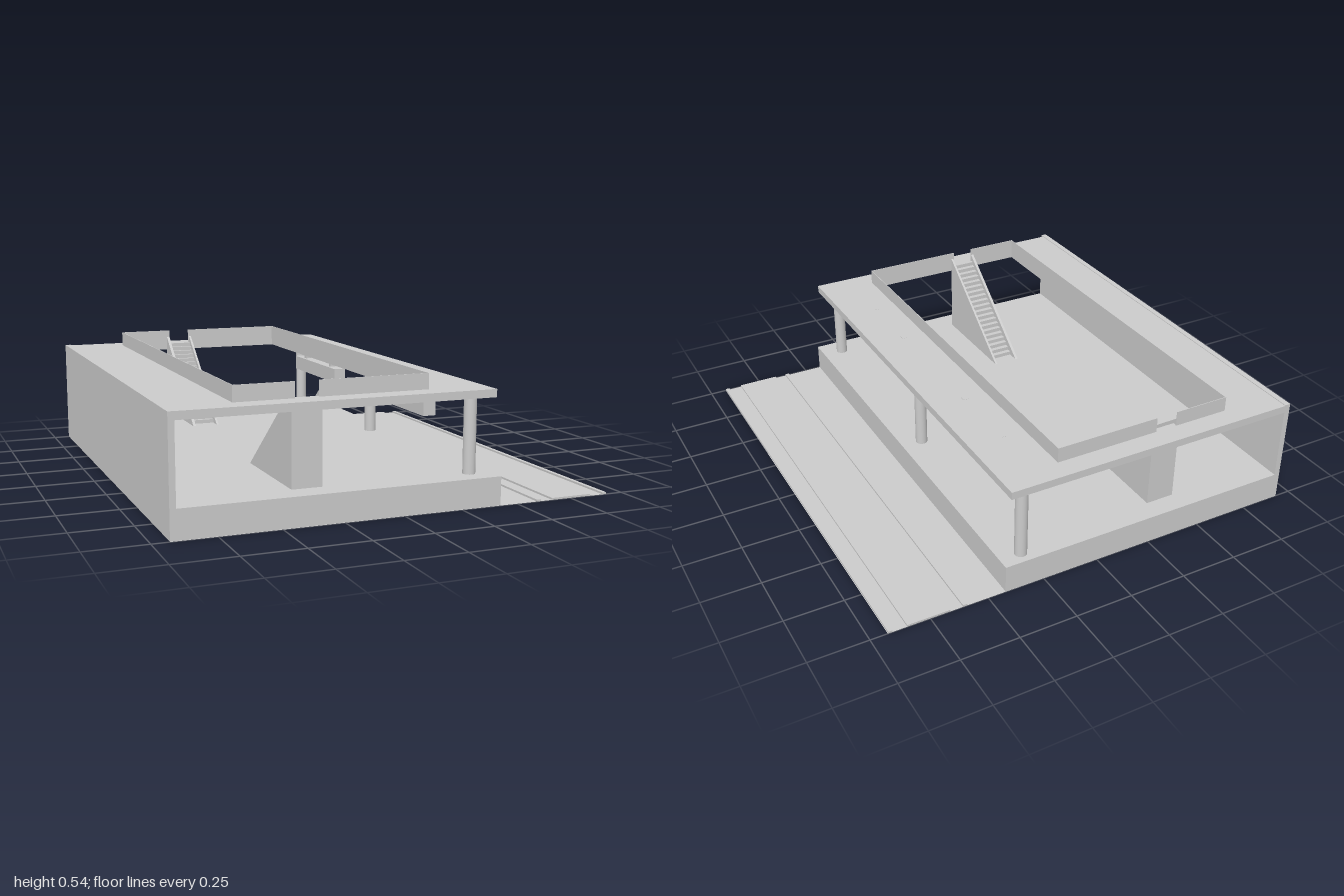
import * as THREE from 'three';

const material = new THREE.MeshStandardMaterial({ color: 0xcccccc, flatShading: true, side: THREE.DoubleSide });
const smooth = new THREE.MeshStandardMaterial({ color: 0xcccccc });

export function createModel() {
  const group = new THREE.Group();

  function add(name, geometry, mat = material) {
    const mesh = new THREE.Mesh(geometry, mat);
    mesh.name = name;
    group.add(mesh);
    return mesh;
  }

  // Box given by its limits on each axis
  function box(name, x0, x1, y0, y1, z0, z1) {
    const mesh = add(name, new THREE.BoxGeometry(x1 - x0, y1 - y0, z1 - z0));
    mesh.position.set((x0 + x1) / 2, (y0 + y1) / 2, (z0 + z1) / 2);
    return mesh;
  }

  const floor = 0.12, ceiling = 0.437, roof = 0.47;

  // Ground sheet, platform and side wall
  const ground = add('ground', new THREE.PlaneGeometry(1.855, 2));
  ground.rotation.x = -Math.PI / 2;
  box('platform', -0.93, 0.423, 0.001, floor, -1, 1);
  box('sideWall', -0.93, -0.905, floor, 0.473, -1, 1);

  // Track bed and rails
  box('rail', 0.592, 0.61, 0, 0.008, -1, 1);
  box('trackBed', 0.664, 0.847, 0, 0.008, -1, 1);
  box('rail', 0.908, 0.925, 0, 0.008, -1, 1);

  // Upper deck with the stairwell opening
  const open = { x0: -0.658, x1: 0.148, z0: -0.91, z1: 0.895 };
  const rectangle = (Type, x0, x1, z0, z1) => new Type([
    new THREE.Vector2(x0, -z0), new THREE.Vector2(x0, -z1),
    new THREE.Vector2(x1, -z1), new THREE.Vector2(x1, -z0),
  ]);
  const deckShape = rectangle(THREE.Shape, -0.905, 0.402, -1, 0.985);
  deckShape.holes.push(rectangle(THREE.Path, open.x0, open.x1, open.z0, open.z1));
  const deck = add('upperDeck', new THREE.ExtrudeGeometry(deckShape, { depth: roof - ceiling, bevelEnabled: false }));
  deck.rotation.x = -Math.PI / 2;
  deck.position.y = ceiling;

  // Thin parapet around the opening, with a gap at each stair
  const top = 0.535, thin = 0.003;
  for (const x of [open.x0, open.x1 - thin]) box('parapetSide', x, x + thin, roof, top, open.z0, open.z1);
  for (const z of [open.z0, open.z1 - thin]) {
    box('parapetEnd', open.x0, -0.412, roof, top, z, z + thin);
    box('parapetEnd', -0.315, open.x1, roof, top, z, z + thin);
  }

  // Profile in the (run, height) plane, extruded across x
  function stairPart(name, points, x0, x1, dir) {
    const shape = new THREE.Shape(points.map(([z, y]) => new THREE.Vector2(z * dir, y)));
    const geometry = new THREE.ExtrudeGeometry(shape, { depth: x1 - x0, bevelEnabled: false });
    geometry.rotateY(-Math.PI / 2); // shape x becomes z, depth runs towards -x
    geometry.translate(x1, 0, 0);
    add(name, geometry);
  }

  // Stairs rising outward at both ends, between sloping side panels
  function stairs(start, end, dir) {
    const steps = 20, z0 = start + 0.055;
    const profile = [[end, floor], [z0, floor]];
    for (let i = 0; i < steps; i++) {
      const y = floor + (roof - floor) * (i + 1) / steps;
      profile.push([z0 + (end - z0) * i / steps, y], [z0 + (end - z0) * (i + 1) / steps, y]);
    }
    stairPart('steps', profile, -0.414, -0.31, dir);
    const panel = [[start, floor], [end, floor], [end, 0.505]];
    stairPart('stairPanel', panel, -0.427, -0.414, dir);
    stairPart('stairPanel', panel, -0.31, -0.3, dir);
  }
  stairs(0.41, open.z1, 1);
  stairs(0.44, -open.z0, -1);

  // Round columns along the platform edge
  for (const z of [0.907, -0.043, -0.947]) {
    const column = add('column', new THREE.CylinderGeometry(0.026, 0.026, ceiling - floor, 32), smooth);
    column.position.set(0.328, (floor + ceiling) / 2, z);
  }

  // Hanging sign boxes, each on two hangers
  for (const [z0, z1, hangers] of [[0.197, 0.715, [0.295, 0.62]], [-0.74, -0.222, [-0.642, -0.317]]]) {
    box('signBox', 0.219, 0.275, 0.327, 0.393, z0, z1);
    for (const z of hangers) box('hanger', 0.234, 0.259, 0.393, roof + 0.001, z - 0.012, z + 0.012);
  }

  return group;
}
